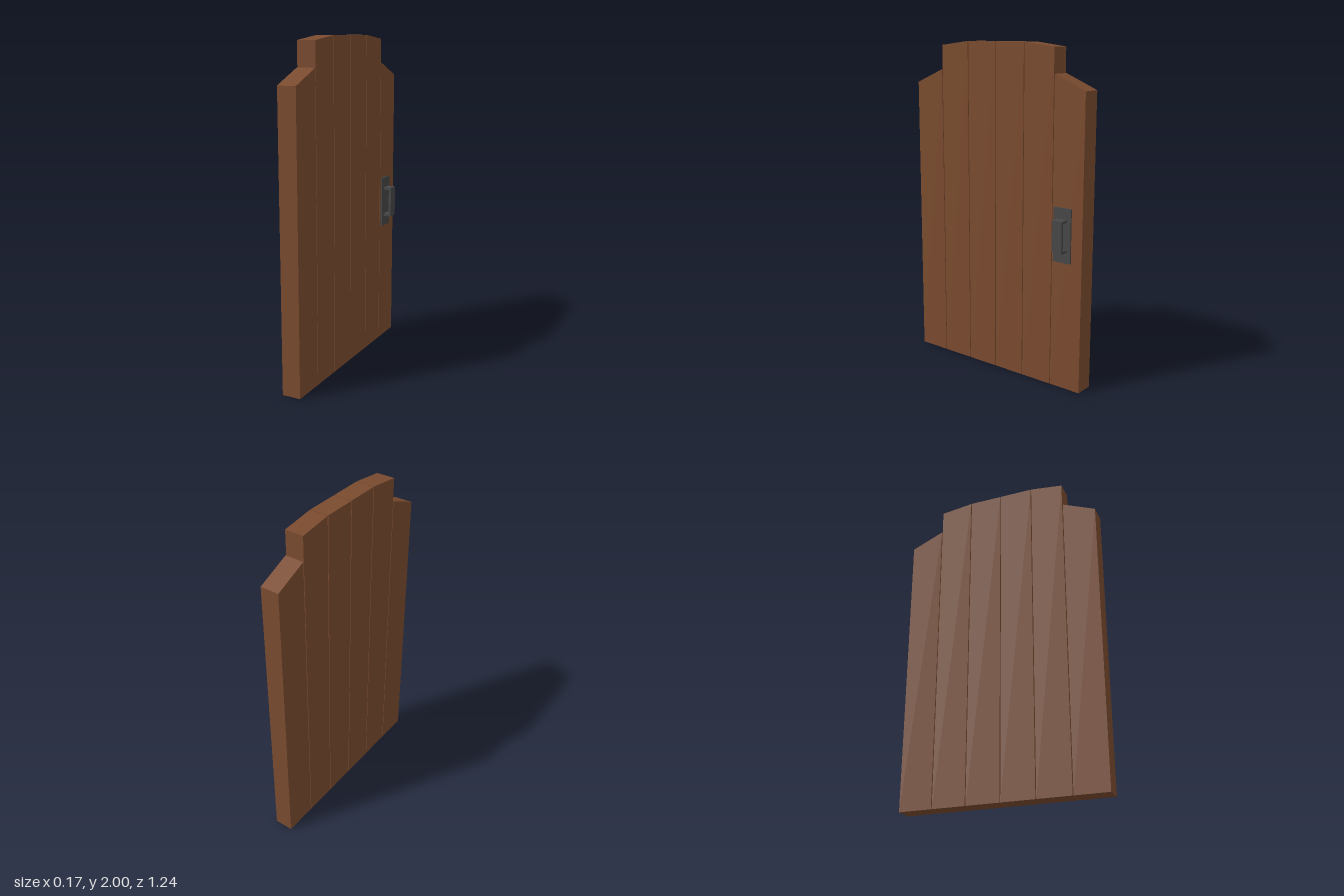
import * as THREE from 'three';

const wood = new THREE.MeshStandardMaterial({ name: 'brown wood', color: 0x7a4b2f });
const iron = new THREE.MeshStandardMaterial({ name: 'dark iron', color: 0x474747 });

const BACK = -0.088, FACE = 0.026; // door thickness along x
const PITCH = 0.208, GAP = 0.005;

// Box given by its limits on each axis
function block(name, material, [x0, x1], [y0, y1], [z0, z1]) {
  const geometry = new THREE.BoxGeometry(x1 - x0, y1 - y0, z1 - z0);
  geometry.translate((x0 + x1) / 2, (y0 + y1) / 2, (z0 + z1) / 2);
  const mesh = new THREE.Mesh(geometry, material);
  mesh.name = name;
  return mesh;
}

// Upright board whose top slopes from the inner to the outer edge
function plank(name, side, index, innerTop, outerTop) {
  const inner = index * PITCH + GAP / 2, outer = (index + 1) * PITCH - GAP / 2;
  const limits = [side * inner, side * outer].sort((a, b) => a - b);
  const mesh = block(name, wood, [BACK, FACE], [0, 1], limits);
  const pos = mesh.geometry.attributes.position;
  for (let i = 0; i < pos.count; i++) {
    if (pos.getY(i) < 0.5) continue;
    const isOuter = Math.abs(pos.getZ(i)) > (inner + outer) / 2;
    pos.setY(i, isOuter ? outerTop : innerTop);
  }
  mesh.geometry = mesh.geometry.toNonIndexed();
  mesh.geometry.computeVertexNormals();
  return mesh;
}

export function createModel() {
  const door = new THREE.Group();
  door.name = 'door';

  // Six planks, mirrored about the middle
  const planks = new THREE.Group();
  planks.name = 'planks';
  const tops = [[2, 2], [2, 1.975], [1.83, 1.745]];
  const names = ['middlePlank', 'shoulderPlank', 'outerPlank'];
  for (const side of [-1, 1]) {
    tops.forEach(([a, b], i) => planks.add(plank(names[i], side, i, a, b)));
  }
  door.add(planks);

  // Back plate and square pull handle
  const handle = new THREE.Group();
  handle.name = 'handle';
  const width = [-0.523, -0.457];
  handle.add(
    block('backPlate', iron, [FACE, 0.035], [0.77, 1.09], [-0.549, -0.431]),
    block('grip', iron, [0.071, 0.086], [0.835, 1.025], width),
    block('upperArm', iron, [0.035, 0.071], [1.01, 1.025], width),
    block('lowerArm', iron, [0.035, 0.071], [0.835, 0.85], width),
  );
  door.add(handle);
  return door;
}
